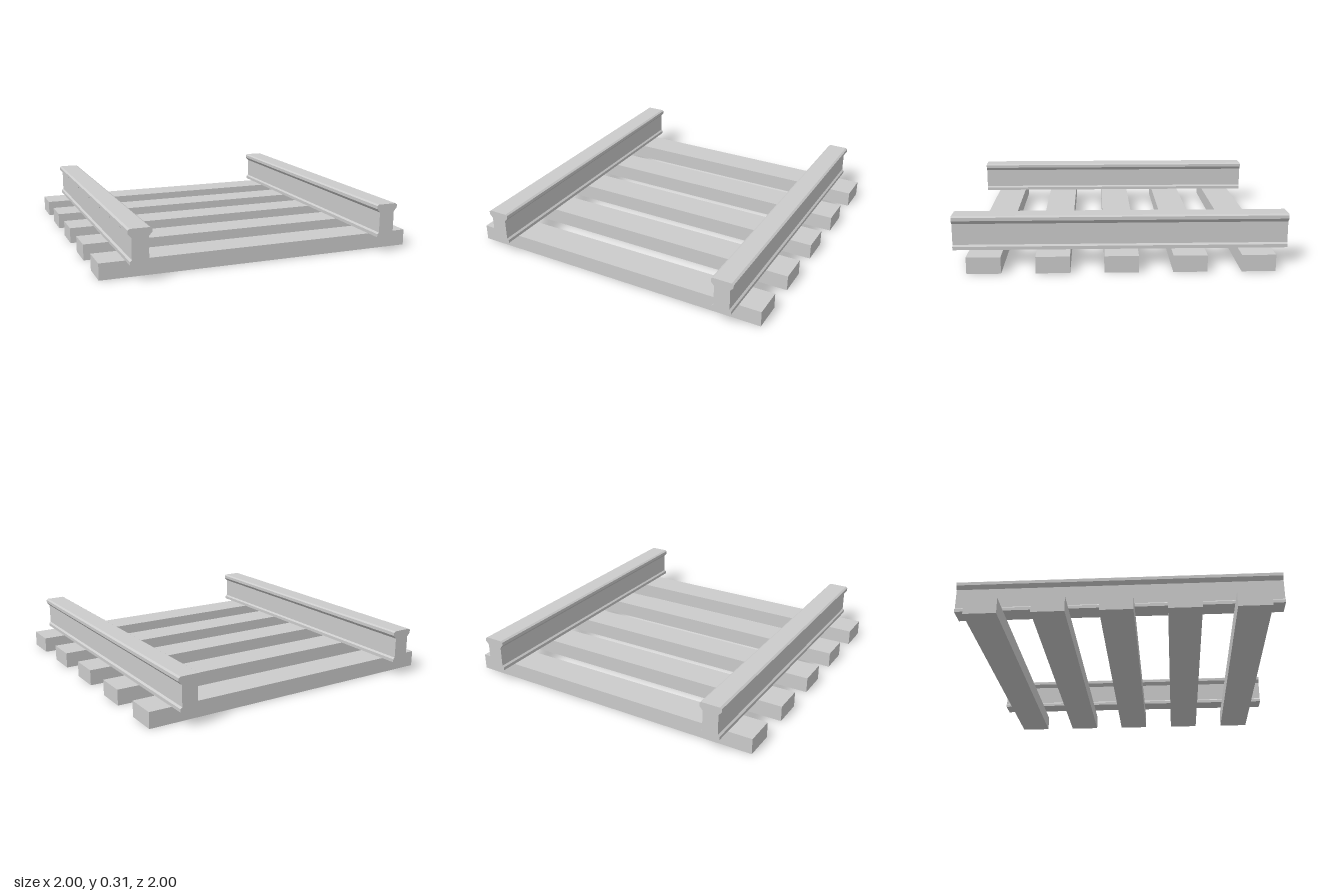
import * as THREE from 'three';

const material = new THREE.MeshStandardMaterial({ color: 0xcccccc, flatShading: true });

// Half of the rail cross-section, from foot to head: [half width, height]
const railProfile = [
  [0.061, 0.1], [0.061, 0.12], [0.05, 0.13], [0.05, 0.258],
  [0.07, 0.28], [0.07, 0.3], [0.058, 0.308],
];

function makeRail(name, x) {
  const right = railProfile.map(([w, y]) => new THREE.Vector2(w, y));
  const left = railProfile.map(([w, y]) => new THREE.Vector2(-w, y)).reverse();
  const geometry = new THREE.ExtrudeGeometry(new THREE.Shape([...right, ...left]), {
    depth: 2, bevelEnabled: false,
  });
  const rail = new THREE.Mesh(geometry, material);
  rail.name = name;
  rail.position.set(x, 0, -1);
  return rail;
}

export function createModel() {
  const model = new THREE.Group();
  model.name = 'railwayTrack';

  // Five evenly spaced cross ties
  const tieGeometry = new THREE.BoxGeometry(2, 0.1, 0.2);
  for (let i = 0; i < 5; i++) {
    const tie = new THREE.Mesh(tieGeometry, material);
    tie.name = `tie${i + 1}`;
    tie.position.set(0, 0.05, -0.8 + i * 0.4);
    model.add(tie);
  }

  // Two rails running front to back
  model.add(makeRail('rightRail', -0.785), makeRail('leftRail', 0.797));
  return model;
}
